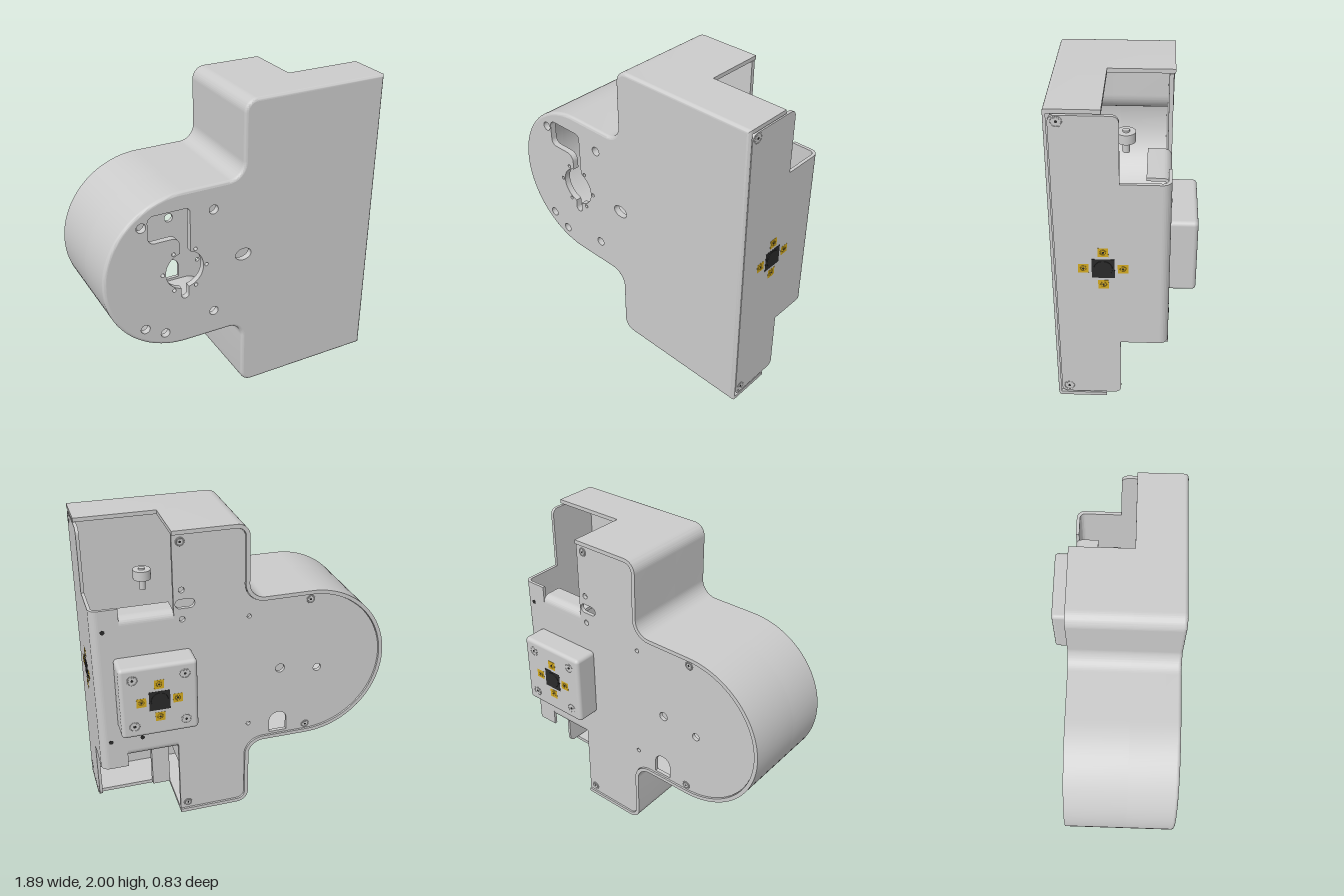
import * as THREE from 'three';
import { toCreasedNormals } from 'three/addons/utils/BufferGeometryUtils.js';
import { RoundedBoxGeometry } from 'three/addons/geometries/RoundedBoxGeometry.js';

const PI = Math.PI;
const V = (x, y, z) => new THREE.Vector3(x, y, z);
const grey = new THREE.MeshStandardMaterial({ color: 0xcccccc });
const black = new THREE.MeshStandardMaterial({ color: 0x2a2a2a });
const yellow = new THREE.MeshStandardMaterial({ color: 0xd4aa20 });

// Housing outline inset by d, running from the lower right round the lobe to the upper right
function outline(d, xe) {
  const p = new THREE.Path();
  p.moveTo(xe, d);
  p.lineTo(0.05, d);
  p.absarc(0.05, 0.08, 0.08 - d, -PI / 2, -PI, true);
  p.absarc(-0.13, 0.38, 0.1 + d, 0, PI / 2, false);
  p.absarc(-0.43, 1, 0.52 - d, -PI / 2, -1.5 * PI, true);
  p.absarc(-0.13, 1.62, 0.1 + d, -PI / 2, 0, false);
  p.absarc(0.05, 1.92, 0.08 - d, PI, PI / 2, true);
  p.lineTo(xe, 2 - d);
  return p.getPoints(24);
}

function extrude(shape, depth) {
  const g = new THREE.ExtrudeGeometry(shape, { depth, bevelEnabled: false, curveSegments: 20 });
  return toCreasedNormals(g, 0.6);
}

function ellipse(x, y, rx, ry = rx) {
  return new THREE.Path().absellipse(x, y, rx, ry, 0, 2 * PI);
}

// Rounded rectangle, used for holes and plates
function roundRect(x0, y0, x1, y1, r, T = THREE.Path) {
  const p = new T();
  p.absarc(x1 - r, y0 + r, r, -PI / 2, 0, false);
  p.absarc(x1 - r, y1 - r, r, 0, PI / 2, false);
  p.absarc(x0 + r, y1 - r, r, PI / 2, PI, false);
  p.absarc(x0 + r, y0 + r, r, PI, 1.5 * PI, false);
  return p;
}

// Bent sheet: two legs a (along x) and b (along y) joined by a bend of radius r
function bentSheet(a, b, depth, r = 0.05, t = 0.02) {
  const s = new THREE.Shape();
  s.moveTo(a, 0);
  s.lineTo(r, 0);
  s.absarc(r, r, r, -PI / 2, -PI, true);
  s.lineTo(0, b);
  s.lineTo(t, b);
  s.absarc(r, r, r - t, PI, 1.5 * PI, false);
  s.lineTo(a, t);
  return extrude(s, depth);
}

// Rounded front edge lofted through inset outlines
function frontEdge() {
  const n = 6, r = 0.02, pos = [], idx = [];
  let m = 0;
  for (let i = 0; i <= n; i++) {
    const a = (i / n) * PI / 2, d = r * (1 - Math.cos(a));
    const pts = outline(d, 0.94 - d);
    pts.push(pts[0].clone());
    m = pts.length;
    pts.forEach(p => pos.push(p.x, p.y, 0.39 + r * Math.sin(a)));
  }
  for (let i = 0; i < n; i++) for (let j = 0; j < m - 1; j++) {
    const a = i * m + j, b = a + 1, c = a + m, e = c + 1;
    idx.push(a, c, b, b, c, e);
  }
  const g = new THREE.BufferGeometry();
  g.setAttribute('position', new THREE.Float32BufferAttribute(pos, 3));
  g.setIndex(idx);
  return toCreasedNormals(g, 0.7);
}

export function createModel() {
  const root = new THREE.Group();
  const add = (name, geo, x = 0, y = 0, z = 0, mat = grey, parent = root) => {
    const m = new THREE.Mesh(geo, mat);
    m.name = name;
    m.position.set(x, y, z);
    parent.add(m);
    return m;
  };
  const box = (name, x0, x1, y0, y1, z0, z1, mat) =>
    add(name, new THREE.BoxGeometry(x1 - x0, y1 - y0, z1 - z0), (x0 + x1) / 2, (y0 + y1) / 2, (z0 + z1) / 2, mat);

  // Front wall with its openings
  const front = new THREE.Shape(outline(0.02, 0.92));
  const key = new THREE.Path();
  key.moveTo(-0.39, 1.118);
  key.lineTo(-0.39, 1.38);
  key.absarc(-0.42, 1.38, 0.03, 0, PI / 2, false);
  key.absarc(-0.62, 1.37, 0.04, PI / 2, PI, false);
  key.absarc(-0.62, 1.27, 0.04, PI, 1.5 * PI, false);
  key.absarc(-0.51, 1.18, 0.05, PI / 2, 0, true);
  key.absarc(-0.43, 1, 0.125, 1.81, 1.5 * PI - 0.2, false);
  key.absarc(-0.43, 0.825, 0.025, PI, 2 * PI, false);
  key.absarc(-0.43, 1, 0.125, -PI / 2 + 0.2, 1.245, false);
  front.holes.push(key, ellipse(-0.03, 1, 0.055, 0.04));
  for (const [x, y] of [[-0.7, 1.35], [-0.235, 1.36], [-0.7, 0.655], [-0.57, 0.585], [-0.235, 0.645]])
    front.holes.push(ellipse(x, y, 0.03));
  for (let i = 0; i < 6; i++)
    front.holes.push(ellipse(-0.43 + 0.145 * Math.cos(i * PI / 3), 1 + 0.145 * Math.sin(i * PI / 3), 0.012));
  add('frontWall', extrude(front, 0.04), 0, 0, 0.37);
  add('frontRoundedEdge', frontEdge());

  // Perimeter wall, cut back behind z = 0.11
  for (const [name, xe, z0, z1] of [['frontPerimeterWall', 0.94, 0.11, 0.39], ['rearPerimeterWall', 0.44, -0.27, 0.11]]) {
    const ring = new THREE.Shape([...outline(0, xe), ...outline(0.025, xe).reverse()]);
    add(name, extrude(ring, z1 - z0), 0, 0, z0);
  }

  // Rear panel set just inside the rim
  const rear = new THREE.Shape(outline(0.028, 0.44));
  const arch = new THREE.Path();
  arch.moveTo(-0.295, 0.525);
  arch.lineTo(-0.175, 0.525);
  arch.absarc(-0.235, 0.61, 0.06, 0, PI, false);
  rear.holes.push(arch, ellipse(-0.495, 0.965, 0.026), ellipse(-0.24, 1, 0.03),
    roundRect(0.31, 1.51, 0.43, 1.57, 0.029),
    ellipse(-0.03, 1.4, 0.014), ellipse(-0.03, 0.62, 0.014), ellipse(0.39, 1.63, 0.018), ellipse(0.39, 1.44, 0.018));
  add('rearPanel', extrude(rear, 0.025), 0, 0, -0.26);

  // Bent rear cover running round the left edge
  const place = (mesh, X, Y, Z, at) => {
    mesh.quaternion.setFromRotationMatrix(new THREE.Matrix4().makeBasis(X, Y, Z));
    mesh.position.copy(at);
  };
  for (const [y0, y1, a] of [[0.6, 1.42, 0.5], [0.45, 0.6, 0.17], [1.42, 1.56, 0.17]])
    place(add('bentRearCover', bentSheet(a, 0.3, y1 - y0)), V(-1, 0, 0), V(0, 0, 1), V(0, 1, 0), V(0.94, y0, -0.26));
  place(add('upperLip', bentSheet(0.08, 0.14, 0.33)), V(0, -1, 0), V(0, 0, 1), V(-1, 0, 0), V(0.77, 1.5, -0.26));
  place(add('lowerLip', bentSheet(0.08, 0.14, 0.33)), V(0, 1, 0), V(0, 0, 1), V(1, 0, 0), V(0.44, 0.52, -0.26));

  // Long side plate
  const side = add('sidePlate', extrude(roundRect(-0.385, 0.035, -0.02, 1.965, 0.04, THREE.Shape), 0.02), 0.92, 0, 0);
  side.rotation.y = PI / 2;

  // Countersunk screws; the group faces local +z
  const screw = (parent, x, y, z, r = 0.03) => {
    add('screwHead', new THREE.CylinderGeometry(r * 0.75, r * 0.75, 0.006, 20).rotateX(PI / 2), x, y, z, grey, parent);
    add('screwRing', new THREE.TorusGeometry(r, 0.004, 6, 24), x, y, z, grey, parent);
    add('screwSocket', new THREE.CylinderGeometry(r * 0.3, r * 0.3, 0.008, 6).rotateX(PI / 2), x, y, z, black, parent);
  };

  // Lens surrounded by four lamps, almost flush; the group faces local +z
  const lensCluster = (name, parent) => {
    const g = new THREE.Group();
    g.name = name;
    parent.add(g);
    add('lensFrame', new THREE.BoxGeometry(0.13, 0.13, 0.008), 0, 0, 0, black, g);
    add('lens', new THREE.CylinderGeometry(0.052, 0.058, 0.012, 28).rotateX(PI / 2), 0, 0, 0, black, g);
    for (let i = 0; i < 4; i++) {
      const x = 0.112 * Math.cos(i * PI / 2), y = 0.112 * Math.sin(i * PI / 2);
      add('lamp', new THREE.BoxGeometry(0.06, 0.06, 0.008), x, y, 0, yellow, g);
      add('lampRing', new THREE.TorusGeometry(0.016, 0.004, 6, 20), x, y, 0.002, yellow, g);
      add('lampCore', new THREE.CylinderGeometry(0.007, 0.007, 0.01, 10).rotateX(PI / 2), x, y, 0, black, g);
    }
    return g;
  };

  const sideFace = new THREE.Group();
  sideFace.name = 'sideFace';
  sideFace.rotation.y = PI / 2;
  sideFace.position.x = 0.94;
  root.add(sideFace);
  lensCluster('sideLensCluster', sideFace).position.set(-0.115, 1, -0.003);
  for (const y of [0.08, 1.93]) screw(sideFace, -0.34, y, -0.002);

  // Rear sensor block
  add('rearSensorBlock', new RoundedBoxGeometry(0.48, 0.48, 0.17, 4, 0.025), 0.58, 1, -0.33);
  const rearFace = new THREE.Group();
  rearFace.name = 'rearFace';
  rearFace.rotation.y = PI;
  root.add(rearFace);
  lensCluster('rearLensCluster', rearFace).position.set(-0.58, 1, 0.412);
  for (const sx of [-1, 1]) for (const sy of [-1, 1]) screw(rearFace, -0.58 + sx * 0.16, 1 + sy * 0.16, 0.413);
  for (const [x, y] of [[0.39, 0.07], [0.39, 1.93], [-0.43, 1.46], [-0.43, 0.54]]) screw(rearFace, -x, y, 0.26, 0.024);
  for (const [x, y] of [[0.87, 1.42], [0.87, 0.65], [0.67, 0.65]])
    add('coverHole', new THREE.CylinderGeometry(0.014, 0.014, 0.004, 16).rotateX(PI / 2), -x, y, 0.26, black, rearFace);

  // Inner fittings seen through the notches
  add('innerKnob', new THREE.CylinderGeometry(0.055, 0.055, 0.06, 28), 0.57, 1.65, 0);
  add('innerKnobStem', new THREE.CylinderGeometry(0.02, 0.02, 0.14, 16), 0.57, 1.62, 0);
  box('lowerBracket', 0.44, 0.56, 0.025, 0.42, 0.06, 0.11);
  box('innerShelf', 0.02, 0.42, 0.33, 0.45, -0.235, 0.02);
  box('sensorBoard', 0.83, 0.87, 0.85, 1.15, -0.08, 0.11, black);
  box('sensorBody', 0.87, 0.92, 0.93, 1.07, 0, 0.2, black);
  box('sensorConnector', 0.77, 0.92, 0.97, 1.03, -0.05, -0.02);
  return root;
}
